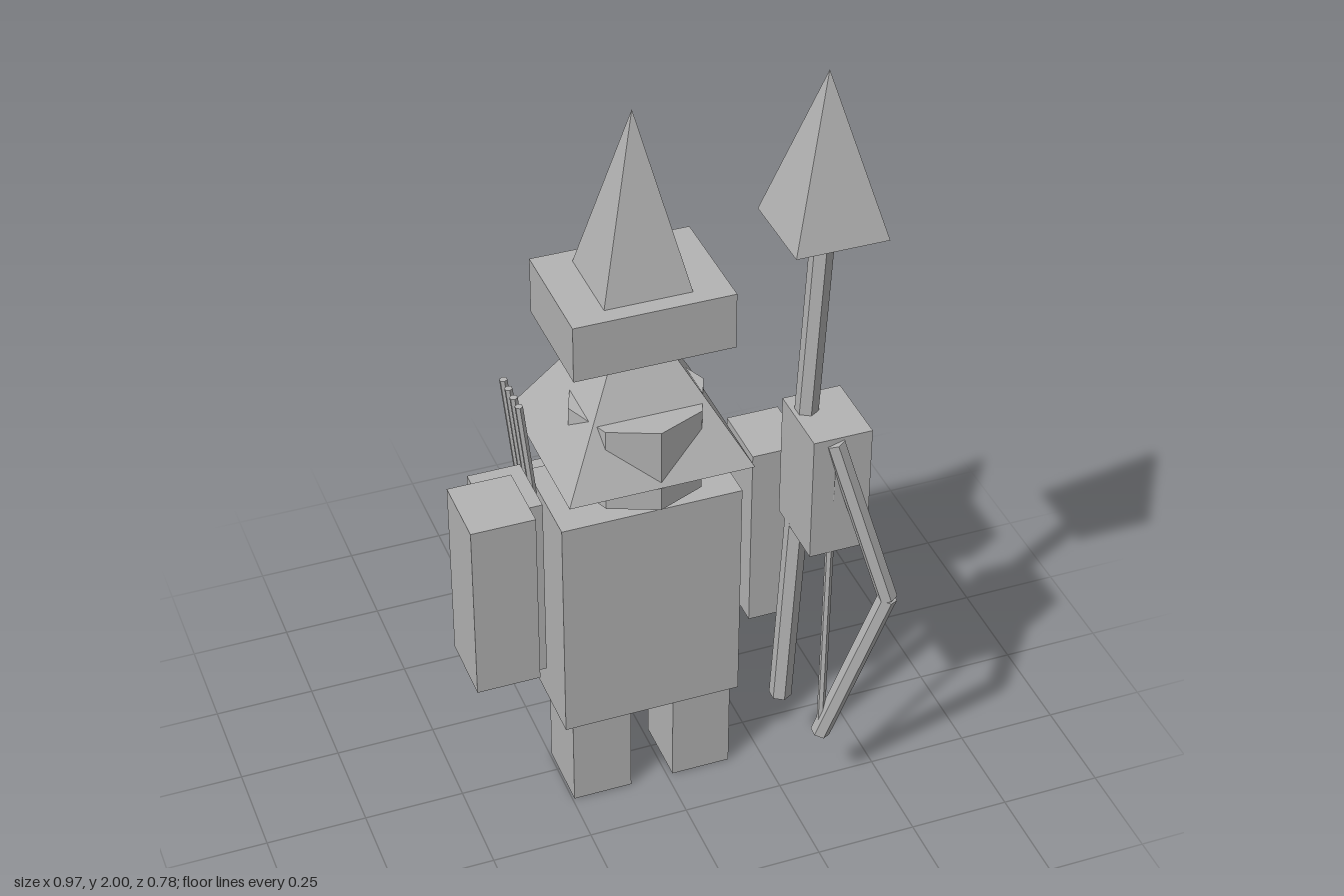
import * as THREE from 'three';

export function createModel() {
  const model = new THREE.Group();
  const grey = new THREE.MeshStandardMaterial({ color: 0xb4b4b4 });
  grey.name = 'plain grey';

  const add = (name, geometry, parent = model) => {
    const flat = geometry.index ? geometry.toNonIndexed() : geometry;
    flat.computeVertexNormals();
    const mesh = new THREE.Mesh(flat, grey);
    mesh.name = name;
    parent.add(mesh);
    return mesh;
  };

  // Box given by its limits on each axis
  const box = (name, [x0, x1], [y0, y1], [z0, z1]) => {
    const mesh = add(name, new THREE.BoxGeometry(x1 - x0, y1 - y0, z1 - z0));
    mesh.position.set((x0 + x1) / 2, (y0 + y1) / 2, (z0 + z1) / 2);
    return mesh;
  };

  // Square pyramid standing on y0, with its base aligned to the axes
  const pyramid = (name, x, z, y0, y1, width, depth) => {
    const g = new THREE.ConeGeometry(Math.SQRT1_2, y1 - y0, 4);
    g.rotateY(Math.PI / 4).scale(width, 1, depth);
    add(name, g).position.set(x, (y0 + y1) / 2, z);
  };

  // Six-sided rod between two points
  const rod = (name, from, to, radius, parent = model) => {
    const a = new THREE.Vector3(...from), b = new THREE.Vector3(...to);
    const dir = b.clone().sub(a);
    const mesh = add(name, new THREE.CylinderGeometry(radius, radius, dir.length(), 6), parent);
    mesh.position.copy(a).add(b).multiplyScalar(0.5);
    mesh.quaternion.setFromUnitVectors(new THREE.Vector3(0, 1, 0), dir.normalize());
  };

  // Body, legs and backpack
  box('body', [-0.265, 0.185], [0.24, 0.855], [-0.135, 0.12]);
  box('rightLeg', [-0.245, -0.095], [0, 0.24], [-0.06, 0.115]);
  box('leftLeg', [0.015, 0.165], [0, 0.24], [-0.06, 0.115]);
  box('backpack', [-0.25, 0.175], [0.33, 0.815], [-0.215, -0.125]);
  box('pouch', [-0.242, -0.145], [0.4, 0.555], [-0.39, -0.308]);

  // Arms, with a thicker outer block on the right
  box('rightArm', [-0.43, -0.3], [0.425, 0.923], [-0.075, 0.09]);
  box('leftArm', [0.222, 0.353], [0.425, 0.923], [-0.075, 0.09]);
  box('rightOuterArm', [-0.49, -0.333], [0.447, 0.926], [-0.04, 0.14]);
  box('leftHand', [0.28, 0.425], [0.77, 1.1], [0.12, 0.308]);

  // Eight-sided head poking through a sloping hood
  add('head', new THREE.CylinderGeometry(0.167, 0.167, 0.22, 8)).position.set(-0.04, 1.01, 0.009);
  pyramid('hood', -0.038, -0.033, 0.968, 1.37, 0.455, 0.43);

  // Hat
  box('hatBrim', [-0.235, 0.155], [1.285, 1.43], [-0.162, 0.136]);
  pyramid('hatPoint', -0.04, -0.013, 1.43, 1.865, 0.212, 0.212);

  // Spear
  rod('spearShaft', [0.285, 0.217, 0.153], [0.333, 1.615, 0.195], 0.028);
  pyramid('spearTip', 0.333, 0.193, 1.61, 2, 0.222, 0.222);

  // Bow: two limbs meeting at the grip, and a string
  const bow = new THREE.Group();
  bow.name = 'bow';
  model.add(bow);
  const top = [0.335, 1.085, 0.3], grip = [0.46, 0.64, 0.364], low = [0.335, 0.19, 0.29];
  rod('upperLimb', grip, top, 0.024, bow);
  rod('lowerLimb', low, grip, 0.024, bow);
  rod('bowString', low, top, 0.01, bow);

  // Row of arrows beside the backpack
  for (let i = 0; i < 4; i++) {
    const z = -0.183 + i * 0.038;
    rod('arrow', [-0.263, 0.75, z], [-0.3, 1.095, z], 0.01);
  }

  return model;
}
